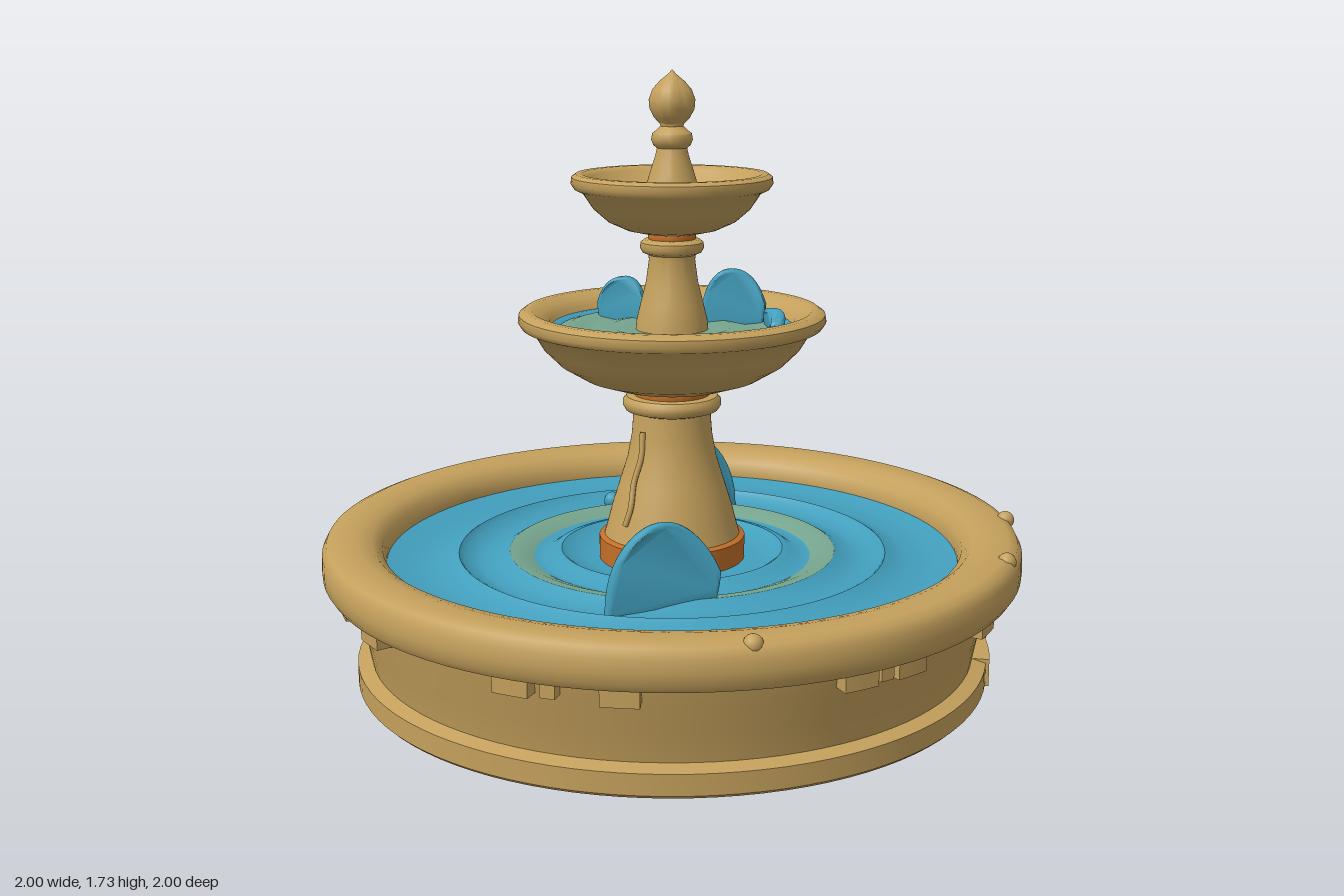
import * as THREE from 'three';
import { toCreasedNormals } from 'three/addons/utils/BufferGeometryUtils.js';

const paint = (name, color) => {
  const m = new THREE.MeshStandardMaterial({ color, side: THREE.DoubleSide });
  m.name = name;
  return m;
};

export function createModel() {
  const stone = paint('sandstone', 0xc4a05c);
  const water = paint('water blue', 0x429fbd);
  const shallow = paint('shallow water green', 0x76a58e);
  const rust = paint('rust orange', 0xc46f28);
  const root = new THREE.Group();
  root.name = 'fountain';

  const add = (name, geo, mat, parent = root) => {
    const mesh = new THREE.Mesh(geo, mat);
    mesh.name = name;
    parent.add(mesh);
    return mesh;
  };
  const rad = THREE.MathUtils.degToRad;
  const turned = (name, pts, mat, seg = 64) => add(name, toCreasedNormals(
    new THREE.LatheGeometry(pts.map(p => new THREE.Vector2(p[0], p[1])), seg), 0.75), mat);

  // Box bent around the y axis, centred on an azimuth in degrees (0 = front)
  const bentBlock = (name, az, width, y0, y1, r0, r1) => {
    const geo = new THREE.BoxGeometry(width, y1 - y0, r1 - r0, 8, 1, 1);
    const p = geo.attributes.position;
    for (let i = 0; i < p.count; i++) {
      const a = rad(az) + p.getX(i) / r1;
      const r = (r0 + r1) / 2 + p.getZ(i);
      p.setXYZ(i, r * Math.sin(a), (y0 + y1) / 2 + p.getY(i), r * Math.cos(a));
    }
    return add(name, toCreasedNormals(geo, 0.6), stone);
  };

  // Large basin, open underneath
  turned('basin', [
    [0.9, 0], [0.91, 0.01], [0.91, 0.068], [0.87, 0.08], [0.885, 0.16], [0.91, 0.25], [0.92, 0.305],
    [0.985, 0.31], [0.998, 0.33], [1, 0.36], [0.998, 0.395], [0.985, 0.42], [0.96, 0.43],
    [0.9, 0.43], [0.86, 0.42], [0.83, 0.395], [0.82, 0.36], [0.82, 0.32], [0.84, 0.27],
    [0.86, 0.18], [0.855, 0.08], [0.9, 0]], stone, 96);

  // Blocks under the basin rim
  for (const az of [-160, -141, -122, -100, -78, -56, -41, -9, 8, 45, 55, 78, 117, 127, 139, 153, 169, 183])
    bentBlock('rimBlock', az, 0.1, 0.255, 0.312, 0.88, 0.955);
  for (const az of [-68, -3, 50]) bentBlock('narrowRimBlock', az, 0.04, 0.26, 0.312, 0.88, 0.95);

  // Repaired stretch of plinth with a rust spot
  bentBlock('plinthSlab', 102, 0.25, 0, 0.08, 0.86, 0.92);
  const spot = add('rustSpot', new THREE.BoxGeometry(0.05, 0.008, 0.03), rust);
  spot.position.set(0.87, 0.083, -0.26);
  spot.rotation.y = rad(106);

  // Pebbles on the rim
  for (const [x, z] of [[0.44, 0.86], [0.925, -0.33], [0.965, 0.07]])
    add('pebble', new THREE.SphereGeometry(0.026, 14, 10), stone).position.set(x, 0.418, z);

  // Rippled pool, in three rings
  turned('outerPool', [[0.825, 0.35], [0.76, 0.338], [0.68, 0.335], [0.635, 0.35], [0.615, 0.362],
    [0.6, 0.345], [0.55, 0.332], [0.5, 0.342], [0.47, 0.36]], water, 80);
  turned('poolRipple', [[0.47, 0.36], [0.44, 0.358], [0.4, 0.342]], shallow, 80);
  turned('innerPool', [[0.4, 0.342], [0.37, 0.338], [0.34, 0.358], [0.32, 0.362], [0.29, 0.342],
    [0.24, 0.335], [0.2, 0.335]], water, 80);
  add('poolBead', new THREE.SphereGeometry(0.027, 14, 10), water).position.set(-0.32, 0.35, -0.44);

  // Main column
  turned('columnFootBand', [[0.2, 0.31], [0.21, 0.32], [0.21, 0.4], [0.19, 0.408]], rust);
  const columnProfile = [[0.195, 0.405], [0.185, 0.44], [0.172, 0.49], [0.15, 0.56], [0.128, 0.63],
    [0.115, 0.7], [0.11, 0.765]];
  turned('column', [...columnProfile, [0.132, 0.772], [0.14, 0.785], [0.14, 0.8], [0.13, 0.812],
    [0.1, 0.815]], stone);
  turned('columnTopBand', [[0.105, 0.81], [0.108, 0.82], [0.105, 0.835]], rust);

  // Raised veins that follow the column
  for (const az of [-30, 148]) {
    const pts = columnProfile.slice(1, 6).map(([r, y], i) => {
      const a = rad(az + (i % 2) * 3);
      return new THREE.Vector3(r * Math.sin(a), y + 0.02, r * Math.cos(a));
    });
    add('columnVein', new THREE.TubeGeometry(new THREE.CatmullRomCurve3(pts), 20, 0.009, 6), stone);
  }

  // Middle bowl and its water
  turned('middleBowl', [
    [0, 0.83], [0.1, 0.83], [0.17, 0.842], [0.25, 0.868], [0.32, 0.91], [0.365, 0.955], [0.395, 1.005],
    [0.425, 1.015], [0.435, 1.03], [0.432, 1.05], [0.415, 1.062], [0.395, 1.062], [0.37, 1.045],
    [0.345, 1.03], [0.335, 1.0], [0.3, 0.96], [0, 0.94]], stone);
  turned('middleWaterEdge', [[0.342, 1.015], [0.33, 1.015], [0.318, 1.008]], water);
  turned('middleWater', [[0.318, 1.008], [0.29, 1.016], [0.26, 1.008], [0.22, 1.002], [0.17, 1.012],
    [0.13, 1.004], [0.06, 1.004]], shallow);

  // Upper column
  turned('upperColumn', [[0.105, 0.98], [0.1, 1.03], [0.088, 1.08], [0.073, 1.14], [0.065, 1.2],
    [0.066, 1.215], [0.083, 1.222], [0.09, 1.235], [0.088, 1.25], [0.078, 1.258], [0.06, 1.26]], stone, 48);
  turned('upperColumnBand', [[0.065, 1.255], [0.068, 1.265], [0.065, 1.28]], rust, 48);

  // Top bowl
  turned('topBowl', [
    [0, 1.275], [0.08, 1.276], [0.13, 1.287], [0.18, 1.31], [0.22, 1.345], [0.25, 1.39], [0.272, 1.4],
    [0.282, 1.415], [0.28, 1.433], [0.268, 1.442], [0.25, 1.442], [0.232, 1.43], [0.215, 1.4],
    [0.17, 1.38], [0.1, 1.37], [0, 1.37]], stone);

  // Finial stem, then a ribbed bud
  turned('finialStem', [[0.085, 1.37], [0.072, 1.41], [0.06, 1.45], [0.047, 1.49], [0.042, 1.512],
    [0.052, 1.52], [0.058, 1.535], [0.055, 1.552], [0.042, 1.562], [0.032, 1.572], [0.035, 1.585]], stone, 40);
  const bud = new THREE.LatheGeometry([[0.03, 1.575], [0.05, 1.595], [0.063, 1.62], [0.065, 1.645],
    [0.055, 1.672], [0.035, 1.695], [0.014, 1.712], [0, 1.726]].map(p => new THREE.Vector2(...p)), 48);
  const bp = bud.attributes.position;
  for (let i = 0; i < bp.count; i++) {
    const a = Math.atan2(bp.getX(i), bp.getZ(i));
    const k = 0.92 + 0.08 * Math.abs(Math.cos(2 * a));
    bp.setXYZ(i, bp.getX(i) * k, bp.getY(i), bp.getZ(i) * k);
  }
  add('finialBud', toCreasedNormals(bud, 0.6), stone);

  // Thin, bent splash fins running between two points on the water
  const splash = (name, [x0, z0], [x1, z1], y, h, thick) => {
    const len = Math.hypot(x1 - x0, z1 - z0);
    const s = new THREE.Shape();
    s.moveTo(0, 0);
    s.bezierCurveTo(0.0, 0.55 * h, 0.2 * len, h, 0.45 * len, h);
    s.bezierCurveTo(0.72 * len, h, 0.9 * len, 0.72 * h, len, 0.4 * h);
    s.quadraticCurveTo(0.99 * len, 0.15 * h, 0.94 * len, 0);
    s.closePath();
    const geo = new THREE.ExtrudeGeometry(s, { depth: thick * 0.4, curveSegments: 12, bevelEnabled: true,
      bevelSize: thick * 0.3, bevelThickness: thick * 0.3, bevelSegments: 3 });
    const p = geo.attributes.position;
    for (let i = 0; i < p.count; i++) {
      const u = p.getX(i) / len;
      p.setZ(i, p.getZ(i) - thick * 0.2 + 0.06 * len * Math.sin(u * Math.PI * 2));
    }
    const mesh = add(name, toCreasedNormals(geo, 0.7), water);
    mesh.position.set(x0, y, z0);
    mesh.rotation.y = -Math.atan2(z1 - z0, x1 - x0);
  };
  splash('frontSplash', [-0.02, 0.54], [0.23, 0.39], 0.34, 0.225, 0.035);
  splash('backSplash', [0.04, -0.55], [-0.16, -0.32], 0.34, 0.22, 0.035);
  splash('bowlSplash', [0.06, -0.13], [0.23, -0.14], 1.0, 0.15, 0.035);
  splash('bowlSplash', [-0.11, -0.1], [-0.25, -0.12], 1.0, 0.12, 0.03);
  splash('lowSplash', [0.26, -0.12], [0.3, -0.02], 1.0, 0.05, 0.04);
  splash('lowSplash', [-0.22, -0.24], [-0.07, -0.29], 1.0, 0.05, 0.035);

  return root;
}
